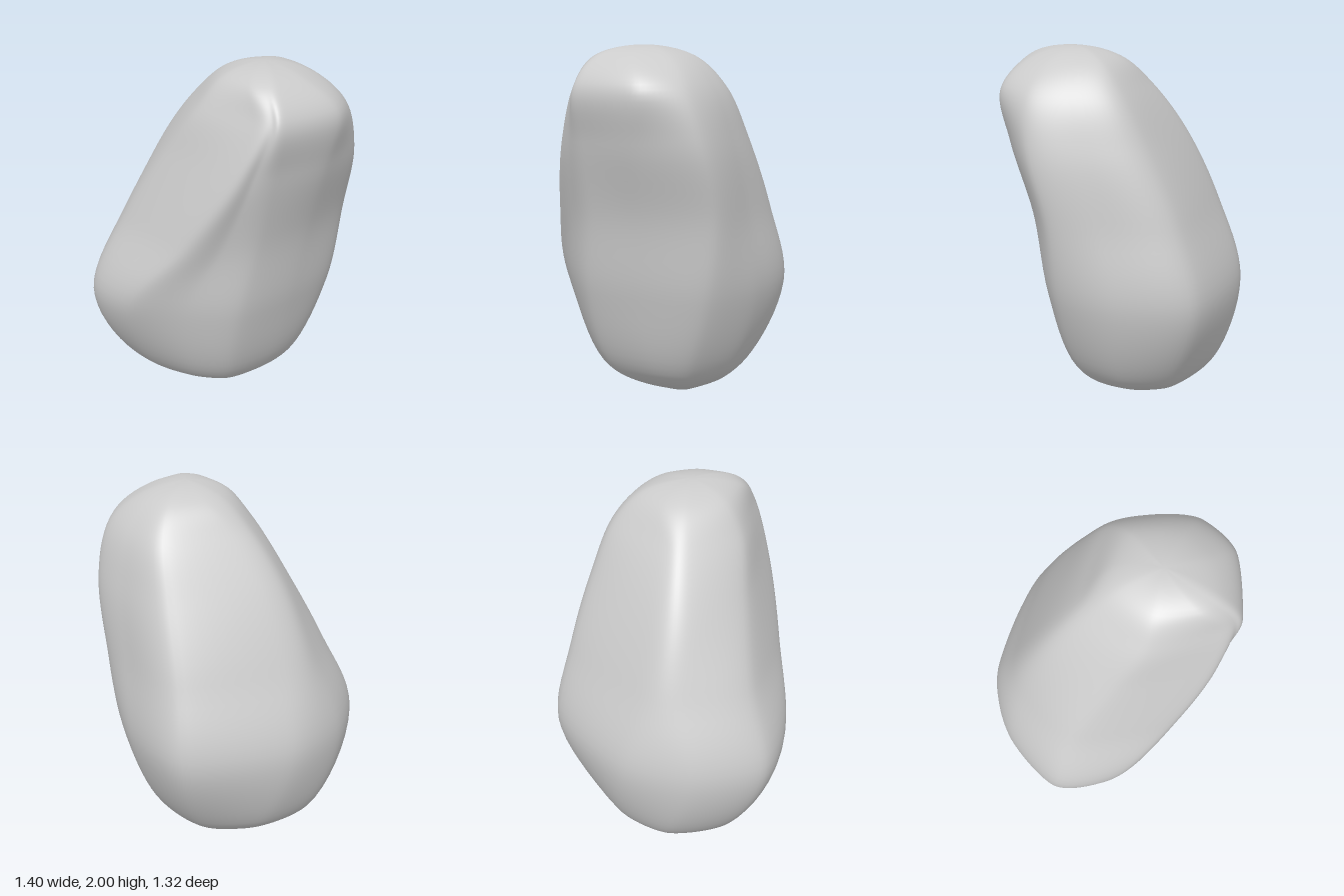
import * as THREE from 'three';

// Cross-sections of the boulder: height, then x,z pairs along ten ridge lines
// (right face front, middle, back; back right; back ridge; left ridge; left; front left; front ridge; front facet)
const SECTIONS = [
  [0.06, [0.08, 0.13, 0.14, 0, 0.16, -0.13, 0.03, -0.25, -0.14, -0.28, -0.29, -0.18, -0.36, -0.02, -0.32, 0.14, -0.17, 0.22, -0.04, 0.2]],
  [0.2, [0.2, 0.3, 0.32, 0.05, 0.34, -0.17, 0.18, -0.38, -0.12, -0.46, -0.44, -0.26, -0.58, 0.02, -0.5, 0.33, -0.28, 0.42, 0, 0.4]],
  [0.65, [0.32, 0.4, 0.46, 0.08, 0.5, -0.28, 0.26, -0.53, -0.16, -0.655, -0.6, -0.25, -0.7, 0.14, -0.57, 0.54, -0.25, 0.645, 0.06, 0.55]],
  [1.1, [0.42, 0.36, 0.54, 0.05, 0.56, -0.32, 0.31, -0.48, -0.08, -0.57, -0.5, -0.14, -0.555, 0.1, -0.4, 0.45, 0.09, 0.6, 0.28, 0.49]],
  [1.5, [0.52, 0.37, 0.65, 0.08, 0.64, -0.26, 0.39, -0.4, 0.05, -0.45, -0.32, -0.08, -0.36, 0.1, -0.15, 0.4, 0.33, 0.52, 0.44, 0.46]],
  [1.78, [0.57, 0.38, 0.695, 0.06, 0.61, -0.18, 0.4, -0.3, 0.15, -0.335, -0.12, -0.05, -0.15, 0.09, 0.04, 0.36, 0.41, 0.43, 0.51, 0.42]],
  [1.94, [0.47, 0.29, 0.52, 0.1, 0.46, -0.07, 0.35, -0.15, 0.21, -0.18, 0.06, -0.05, 0.03, 0.07, 0.13, 0.26, 0.33, 0.34, 0.42, 0.33]],
];
const BOTTOM = new THREE.Vector3(-0.1, 0, -0.02);
const TOP = new THREE.Vector3(0.27, 2, 0.08);
const AROUND = 100; // even, so every column has an opposite one
const ROWS = 64;

// Closed outline of one section; low tension keeps flat faces between soft edges
function outline([y, xz]) {
  const points = [];
  for (let i = 0; i < xz.length; i += 2) points.push(new THREE.Vector3(xz[i], y, xz[i + 1]));
  const curve = new THREE.CatmullRomCurve3(points, true, 'catmullrom', 0.4);
  return Array.from({ length: AROUND }, (_, i) => curve.getPoint(i / AROUND));
}

function boulderGeometry() {
  const rings = SECTIONS.map(outline);
  const positions = [...BOTTOM.toArray()];
  const index = [];

  // Each column runs up one side and down the opposite one, so both ends are rounded
  const columns = Array.from({ length: AROUND }, (_, i) => {
    const up = rings.map((ring) => ring[i]);
    const down = rings.map((ring) => ring[(i + AROUND / 2) % AROUND]).reverse();
    return new THREE.CatmullRomCurve3([BOTTOM, ...up, TOP, ...down], true);
  });
  for (let r = 1; r < ROWS; r++) {
    for (const column of columns) {
      const p = column.getPoint((0.5 * r) / ROWS);
      positions.push(p.x, THREE.MathUtils.clamp(p.y, 0, 2), p.z);
    }
  }
  positions.push(...TOP.toArray());

  const at = (row, i) => 1 + (row - 1) * AROUND + (i % AROUND);
  const last = at(ROWS, 0);
  for (let i = 0; i < AROUND; i++) {
    index.push(0, at(1, i + 1), at(1, i));
    for (let r = 1; r < ROWS - 1; r++) {
      const a = at(r, i), b = at(r, i + 1), c = at(r + 1, i + 1), d = at(r + 1, i);
      index.push(a, b, c, a, c, d);
    }
    index.push(at(ROWS - 1, i), at(ROWS - 1, i + 1), last);
  }

  const geometry = new THREE.BufferGeometry();
  geometry.setAttribute('position', new THREE.Float32BufferAttribute(positions, 3));
  geometry.setIndex(index);
  geometry.computeVertexNormals();
  return geometry;
}

export function createModel() {
  const group = new THREE.Group();
  group.name = 'rock';
  const boulder = new THREE.Mesh(boulderGeometry(), new THREE.MeshStandardMaterial({ color: 0xcccccc }));
  boulder.name = 'boulder';
  group.add(boulder);
  return group;
}
